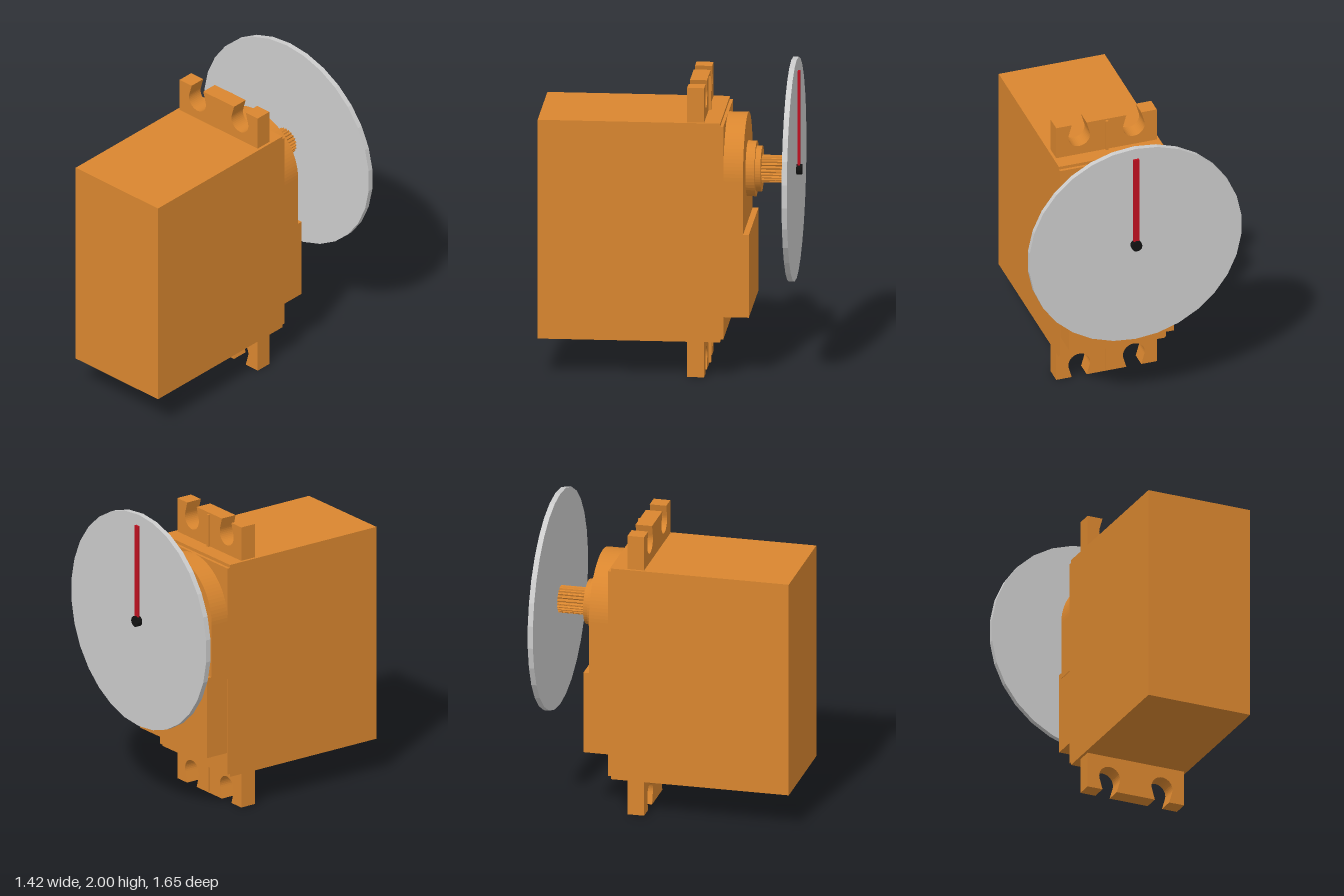
import * as THREE from 'three';

const AXIS_Y = 1.287; // height of the output shaft
const mat = (color) => new THREE.MeshStandardMaterial({ color, flatShading: true });

export function createModel() {
  const model = new THREE.Group();
  const orange = mat(0xd9862f), grey = mat(0xcccccc), red = mat(0xc01020), black = mat(0x111111);

  const add = (name, geometry, material) => {
    const mesh = new THREE.Mesh(geometry, material);
    mesh.name = name;
    model.add(mesh);
    return mesh;
  };

  // Box given by its limits
  const box = (name, x0, x1, y0, y1, z0, z1, material = orange) => {
    const g = new THREE.BoxGeometry(x1 - x0, y1 - y0, z1 - z0);
    g.translate((x0 + x1) / 2, (y0 + y1) / 2, (z0 + z1) / 2);
    return add(name, g, material);
  };

  // Outline in x, y extruded from z0 to z1
  const slab = (name, shape, z0, z1, material = orange) => {
    const g = new THREE.ExtrudeGeometry(shape, { depth: z1 - z0, bevelEnabled: false, curveSegments: 24 });
    g.translate(0, 0, z0);
    return add(name, g, material);
  };

  // Cylinder along z, with one corner pointing straight up
  const disc = (name, r, y, z0, z1, sides, material = orange) => {
    const g = new THREE.CylinderGeometry(r, r, z1 - z0, sides);
    g.rotateX(-Math.PI / 2);
    g.translate(0, y, (z0 + z1) / 2);
    return add(name, g, material);
  };

  // Case
  box('case', -0.355, 0.355, 0.235, 1.665, -0.335, 0.825);
  box('caseStep', -0.355, 0.355, 0.255, 1.645, -0.355, -0.335);

  // Mounting tabs with keyhole notches; the lower one is mirrored
  const tabShape = (edge, root) => {
    const s = Math.sign(edge - root);
    const shape = new THREE.Shape();
    shape.moveTo(-0.337, root);
    shape.lineTo(-0.337, edge);
    for (const cx of [-0.183, 0.183]) {
      const cy = edge - s * 0.092, r = 0.073;
      shape.lineTo(cx - 0.05, edge);
      for (let i = 0; i <= 24; i++) {
        const a = Math.PI - 0.3 + (Math.PI + 0.6) * i / 24;
        shape.lineTo(cx + r * Math.cos(a), cy + s * r * Math.sin(a));
      }
      shape.lineTo(cx + 0.05, edge);
    }
    shape.lineTo(0.337, edge);
    shape.lineTo(0.337, root);
    return shape;
  };
  slab('upperTab', tabShape(1.89, 1.66), -0.232, -0.124);
  slab('lowerTab', tabShape(0, 0.24), -0.232, -0.124);
  box('upperTabRib', -0.009, 0.009, 1.66, 1.88, -0.247, -0.23);
  box('lowerTabRib', -0.009, 0.009, 0.012, 0.24, -0.247, -0.23);

  // Round-topped gear cover and the raised block below it
  const cover = new THREE.Shape();
  cover.moveTo(-0.355, 0.9);
  cover.lineTo(0.355, 0.9);
  cover.absarc(0, 1.29, 0.355, 0, Math.PI, false);
  cover.closePath();
  slab('gearCover', cover, -0.48, -0.355);
  box('raisedBlock', -0.352, 0.352, 0.4, 0.94, -0.517, -0.355);

  // Curved lip under the block
  const lip = new THREE.Shape();
  const lipAngle = 0.54;
  lip.absarc(0, 0.7, 0.35, -Math.PI / 2 - lipAngle, -Math.PI / 2 + lipAngle, false);
  lip.closePath();
  slab('cableLip', lip, -0.445, -0.355);

  // Bearing collars
  disc('largeCollar', 0.177, AXIS_Y, -0.537, -0.48, 48);
  disc('smallCollar', 0.145, AXIS_Y, -0.572, -0.537, 48);

  // Toothed output shaft
  const spline = new THREE.Shape();
  const teeth = 24;
  for (let i = 0; i < teeth * 4; i++) {
    const a = (i / (teeth * 4)) * Math.PI * 2;
    const r = i % 4 < 2 ? 0.088 : 0.078;
    spline[i ? 'lineTo' : 'moveTo'](r * Math.cos(a), AXIS_Y + r * Math.sin(a));
  }
  spline.closePath();
  slab('outputSpline', spline, -0.756, -0.572);

  // Dial with pointer and hub
  disc('dial', 0.713, AXIS_Y, -0.79, -0.756, 30, grey);
  disc('hub', 0.035, AXIS_Y, -0.825, -0.79, 12, black);
  box('pointer', -0.018, 0.018, AXIS_Y, 1.93, -0.812, -0.798, red);

  return model;
}
